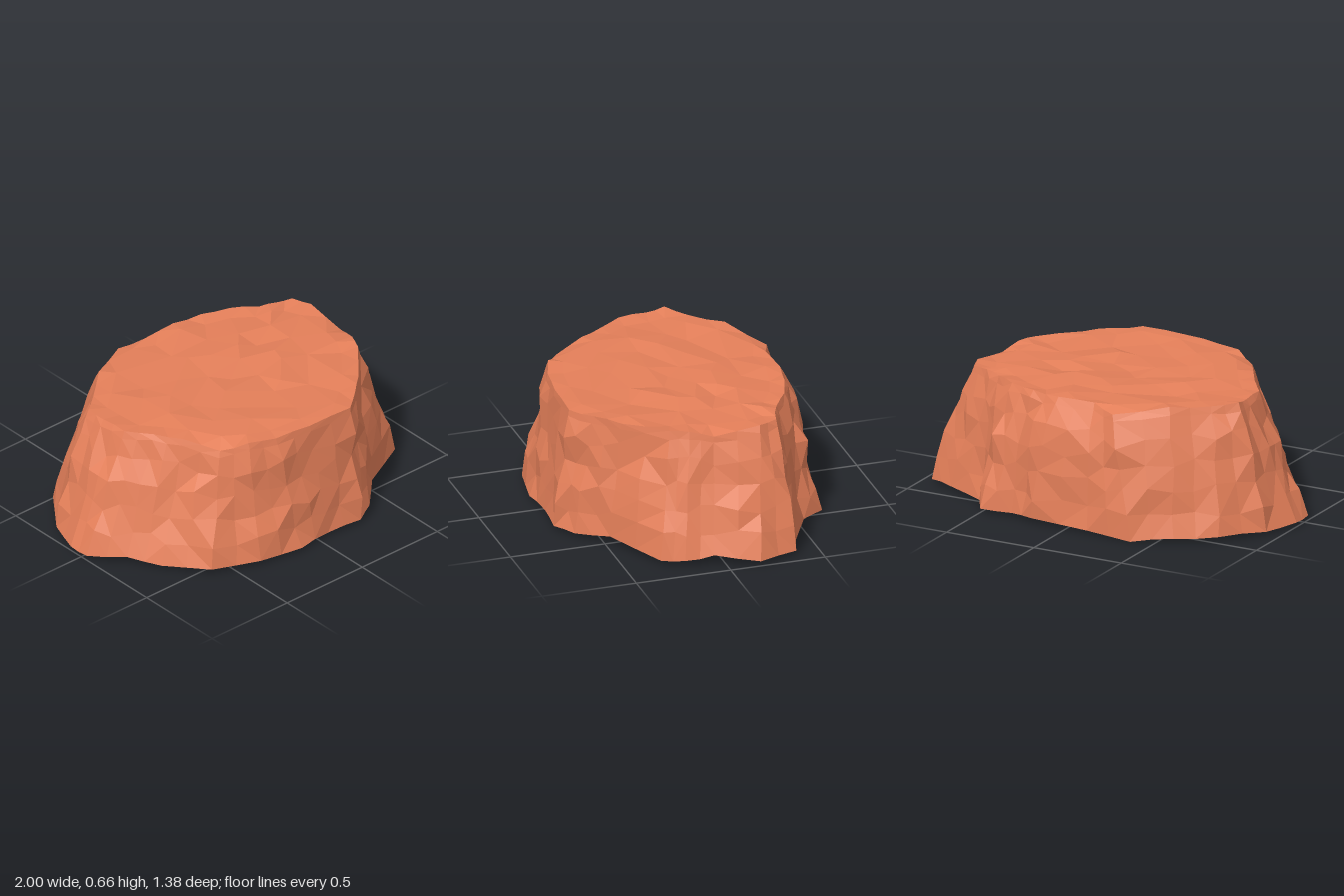
import * as THREE from 'three';

// Foot and rim outlines as matching x, z points, clockwise seen from above;
// an optional third number raises or lowers the edge there
const FOOT = [
  [-1, -0.08], [-0.93, -0.27], [-0.77, -0.48], [-0.58, -0.6], [-0.38, -0.69, -0.02], [-0.13, -0.685],
  [0.2, -0.67], [0.33, -0.63], [0.5, -0.65], [0.57, -0.53], [0.8, -0.41], [0.93, -0.37],
  [1, -0.16], [0.92, 0.06, 0.035], [0.88, 0.2], [0.82, 0.31], [0.52, 0.48, 0.025], [0.38, 0.62],
  [0.26, 0.69], [0.06, 0.67], [-0.13, 0.69], [-0.37, 0.65], [-0.61, 0.55], [-0.77, 0.35],
  [-0.87, 0.2, 0.015], [-1, 0.04],
];
const RIM = [
  [-0.74, -0.13], [-0.75, -0.23, 0.01], [-0.64, -0.32], [-0.48, -0.46, 0.01], [-0.23, -0.6, -0.03], [-0.1, -0.55],
  [0.1, -0.56], [0.26, -0.53], [0.41, -0.48], [0.53, -0.4], [0.62, -0.36], [0.7, -0.34],
  [0.74, -0.24], [0.73, 0, -0.035], [0.7, 0.12], [0.66, 0.21], [0.49, 0.41], [0.37, 0.52],
  [0.26, 0.61], [0, 0.6], [-0.2, 0.57], [-0.34, 0.52], [-0.46, 0.44, -0.035], [-0.56, 0.27],
  [-0.64, 0.14], [-0.73, 0.02],
];
const COLS = FOOT.length * 2;

function seededRandom(seed) {
  return () => {
    seed = (seed * 1664525 + 1013904223) % 4294967296;
    return seed / 4294967296 - 0.5;
  };
}

// Point on an outline, with one extra column between each pair of points
function outlineAt(outline, c) {
  const [ax, az, ay = 0] = outline[Math.floor(c / 2) % outline.length];
  const [bx, bz, by = 0] = outline[Math.ceil(c / 2) % outline.length];
  return new THREE.Vector3(ax + bx, ay + by, az + bz).multiplyScalar(0.5);
}

function rockGeometry() {
  const rand = seededRandom(41);
  const rings = [];

  // Each ring repeats a point for `step` columns, so inner rings get coarser facets
  const addRing = (step, pointAt) => {
    const ring = [];
    for (let c = 0; c < COLS; c++) ring.push(c % step ? ring[c - 1] : pointAt(c));
    rings.push(ring);
  };

  // A nearly level cap ring, gently uneven
  const capRing = (outline, y, [scale, step]) => addRing(step, (c) => {
    const { x, z } = outlineAt(outline, c + Math.floor((step - 1) / 2));
    const j = scale > 0 && scale < 0.85 ? 0.06 : 0;
    return new THREE.Vector3(x * scale + rand() * j, y + rand() * 0.028, z * scale + rand() * j);
  });
  const CAP = [[0, COLS], [0.22, 13], [0.43, 4], [0.65, 4], [0.87, 2]];

  // Underside, from the centre outwards
  for (const ring of CAP) capRing(FOOT, 0.02, ring);

  // Sloping sides, rough between foot and rim and fuller at the back
  for (const t of [0, 0.19, 0.39, 0.59, 0.78, 0.94, 1]) {
    const rough = t === 0 || t === 1 ? 0 : t > 0.9 ? 0.25 : 1;
    addRing(1, (c) => {
      const p = outlineAt(FOOT, c).lerp(outlineAt(RIM, c), t);
      const r = Math.hypot(p.x, p.z);
      const bulge = Math.max(0, -p.z / r) * 0.035 * Math.sin(Math.PI * t ** 1.6);
      const push = 1 + (bulge + rough * rand() * 0.032) / r;
      p.x = p.x * push + rough * rand() * 0.014;
      p.z = p.z * push + rough * rand() * 0.014;
      p.y += 0.025 + 0.628 * t + rand() * (0.01 + rough * 0.04);
      return p;
    });
  }

  // Flat crown, from the rim inwards
  for (const ring of CAP.toReversed()) capRing(RIM, 0.65, ring);

  // Skin between neighbouring rings, leaving out collapsed triangles
  const positions = [];
  const triangle = (p, q, s) => {
    if (p !== q && q !== s && s !== p) for (const v of [p, q, s]) positions.push(v.x, v.y, v.z);
  };
  for (let r = 0; r < rings.length - 1; r++) {
    for (let c = 0; c < COLS; c++) {
      const d = (c + 1) % COLS;
      const a = rings[r][c], b = rings[r][d], a2 = rings[r + 1][c], b2 = rings[r + 1][d];
      // Split along the shorter diagonal
      if (b.distanceTo(a2) < a.distanceTo(b2)) {
        triangle(b, a, a2);
        triangle(b, a2, b2);
      } else {
        triangle(b, a, b2);
        triangle(a, a2, b2);
      }
    }
  }
  const geometry = new THREE.BufferGeometry();
  geometry.setAttribute('position', new THREE.Float32BufferAttribute(positions, 3));
  geometry.computeVertexNormals();
  return geometry;
}

export function createModel() {
  const group = new THREE.Group();
  group.name = 'flatToppedRock';
  const material = new THREE.MeshStandardMaterial({ color: 0xe47f59, flatShading: true });
  const rock = new THREE.Mesh(rockGeometry(), material);
  rock.name = 'rock';
  group.add(rock);
  return group;
}
